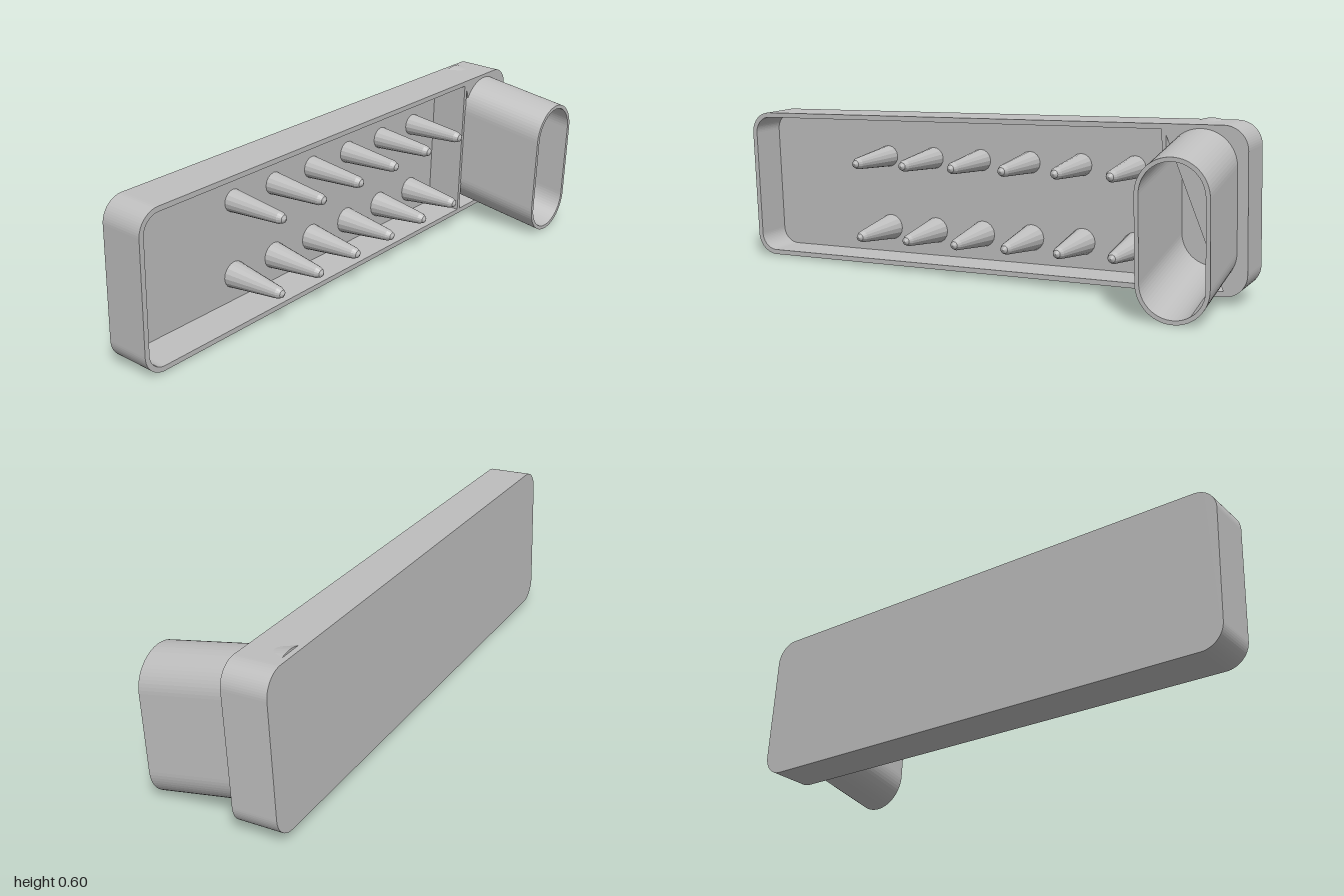
import * as THREE from 'three';

// Rounded rectangle outline, centred on (cx, cy)
function roundedRect(Type, w, h, r, cx = 0, cy = 0) {
  const s = new Type();
  const x = w / 2 - r, y = h / 2 - r;
  s.absarc(cx + x, cy + y, r, 0, Math.PI / 2);
  s.absarc(cx - x, cy + y, r, Math.PI / 2, Math.PI);
  s.absarc(cx - x, cy - y, r, Math.PI, Math.PI * 1.5);
  s.absarc(cx + x, cy - y, r, Math.PI * 1.5, Math.PI * 2);
  s.closePath();
  return s;
}

// Extrude an outline (x = -length, y = height) along local +x, from u0 to u1
function extrudeOut(shape, u0, u1) {
  const g = new THREE.ExtrudeGeometry(shape, { depth: u1 - u0, bevelEnabled: false, curveSegments: 8 });
  return g.rotateY(Math.PI / 2).translate(u0, 0, 0);
}

export function createModel() {
  const model = new THREE.Group();
  const body = new THREE.Group();
  body.name = 'tiltedTray';
  model.add(body);
  const grey = new THREE.MeshStandardMaterial({ color: 0xbebebe });
  grey.name = 'plain grey';

  function add(name, geometry) {
    const m = new THREE.Mesh(geometry, grey);
    m.name = name;
    body.add(m);
    return m;
  }

  const LEN = 1.97, HEIGHT = 0.56, DEPTH = 0.16, WALL = 0.018, FLOOR = 0.02, R = 0.08;

  // Tray: back panel and surrounding wall
  add('backPanel', extrudeOut(roundedRect(THREE.Shape, LEN, HEIGHT, R), 0, FLOOR));
  const wall = roundedRect(THREE.Shape, LEN, HEIGHT, R);
  wall.holes.push(roundedRect(THREE.Path, LEN - 2 * WALL, HEIGHT - 2 * WALL, R - WALL));
  add('trayWall', extrudeOut(wall, FLOOR, DEPTH));

  // Closed compartment at the spout end: divider and cover
  const divider = -0.705;
  const innerEnd = LEN / 2 - WALL, innerTop = HEIGHT / 2 - WALL, ir = R - WALL;
  add('divider', new THREE.BoxGeometry(DEPTH - FLOOR, 2 * innerTop, 0.015)
    .translate((DEPTH + FLOOR) / 2, 0, divider));

  // Leaning spout: centre drifts down and back as it leaves the tray
  const spoutH = (u) => 0.03 - 0.145 * (u - FLOOR);
  const spoutL = (u) => -0.823 - 0.048 * (u - FLOOR);
  const SW = 0.24, SH = 0.515, SWALL = 0.014, SEND = 0.485;

  const cover = new THREE.Shape();
  cover.moveTo(-divider, -innerTop);
  cover.absarc(innerEnd - ir, -innerTop + ir, ir, -Math.PI / 2, 0);
  cover.absarc(innerEnd - ir, innerTop - ir, ir, 0, Math.PI / 2);
  cover.lineTo(-divider, innerTop);
  cover.closePath();
  cover.holes.push(roundedRect(THREE.Path, SW - 0.014, SH - 0.014, SW / 2 - 0.007,
    -spoutL(DEPTH), spoutH(DEPTH)));
  add('compartmentCover', extrudeOut(cover, DEPTH - 0.008, DEPTH));

  const ring = roundedRect(THREE.Shape, SW, SH, SW / 2 - 0.001);
  ring.holes.push(roundedRect(THREE.Path, SW - 2 * SWALL, SH - 2 * SWALL, SW / 2 - SWALL - 0.001));
  const spout = extrudeOut(ring, FLOOR, SEND);
  const p = spout.attributes.position;
  for (let i = 0; i < p.count; i++) {
    const u = p.getX(i);
    p.setXYZ(i, u, p.getY(i) + spoutH(u), p.getZ(i) + spoutL(u));
  }
  spout.computeVertexNormals();
  add('spout', spout);

  // Two rows of tapered pegs
  const rows = [
    { name: 'upperPeg', h: 0.11, r: 0.04, len: 0.235 },
    { name: 'lowerPeg', h: -0.165, r: 0.048, len: 0.228 },
  ];
  for (const { name, h, r, len } of rows) {
    const profile = [[r, 0], [0.021, len - 0.025], [0.014, len - 0.008], [0, len]]
      .map(([x, y]) => new THREE.Vector2(x, y));
    const peg = new THREE.LatheGeometry(profile, 16).toNonIndexed();
    peg.computeVertexNormals();
    peg.rotateZ(-Math.PI / 2);
    for (let i = 0; i < 6; i++) {
      add(name, peg).position.set(FLOOR, h, 0.45 - 0.2 * i);
    }
  }

  // Tilt the whole piece into its resting pose
  const along = new THREE.Vector3(0.108, -0.013, 0.994).normalize();
  const up = new THREE.Vector3(0.04, 1, 0.009);
  const out = new THREE.Vector3().crossVectors(up, along).normalize();
  up.crossVectors(along, out);
  body.quaternion.setFromRotationMatrix(new THREE.Matrix4().makeBasis(out, up, along));
  body.position.set(-0.145, 0.307, 0.015);
  return model;
}
